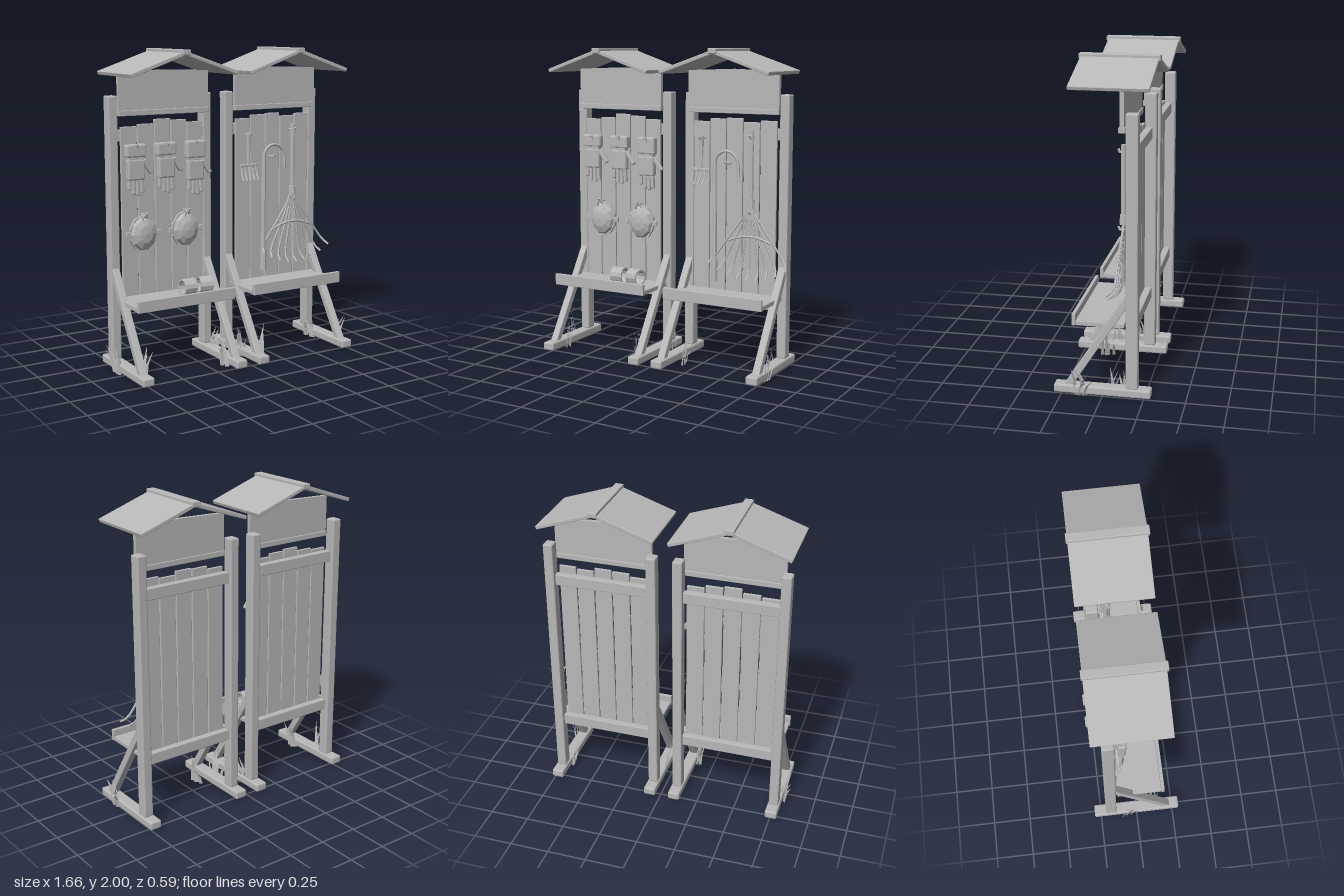
import * as THREE from 'three';
import { RoundedBoxGeometry } from 'three/addons/geometries/RoundedBoxGeometry.js';

const wood = new THREE.MeshStandardMaterial({ color: 0xb8b8b8 });
wood.name = 'plain grey';
wood.side = THREE.DoubleSide;

const V = (x, y, z) => new THREE.Vector3(x, y, z);

// faceted mesh from any geometry
function add(group, name, geo, x = 0, y = 0, z = 0) {
  const flat = geo.index ? geo.toNonIndexed() : geo;
  flat.computeVertexNormals();
  const mesh = new THREE.Mesh(flat, wood);
  mesh.name = name;
  mesh.position.set(x, y, z);
  group.add(mesh);
  return mesh;
}

// chamfered box given by its limits
function box(group, name, x0, x1, y0, y1, z0, z1, bevel = 0) {
  const s = [x1 - x0, y1 - y0, z1 - z0];
  const geo = bevel ? new RoundedBoxGeometry(...s, 1, bevel) : new THREE.BoxGeometry(...s);
  return add(group, name, geo, (x0 + x1) / 2, (y0 + y1) / 2, (z0 + z1) / 2);
}

function tube(group, name, points, r, segments = 8, sides = 6) {
  return add(group, name, new THREE.TubeGeometry(new THREE.CatmullRomCurve3(points), segments, r, sides));
}

function rod(group, name, a, b, r0, r1 = r0, sides = 8) {
  const mesh = add(group, name, new THREE.CylinderGeometry(r1, r0, a.distanceTo(b), sides));
  mesh.position.copy(a).lerp(b, 0.5);
  mesh.quaternion.setFromUnitVectors(V(0, 1, 0), b.clone().sub(a).normalize());
  return mesh;
}

function peg(group, x, y) {
  rod(group, 'peg', V(x, y, -0.14), V(x, y - 0.005, -0.065), 0.007);
  rod(group, 'pegTip', V(x, y - 0.005, -0.068), V(x, y + 0.015, -0.06), 0.008);
}

// frame, plank wall, shelf and roof of one stand
function makeStand(name, cx, plankTops) {
  const g = new THREE.Group();
  g.name = name;
  for (const s of [-1, 1]) {
    const x = cx + s * 0.329;
    box(g, 'foot', x - 0.039, x + 0.039, 0.01, 0.063, -0.293, 0.295, 0.01);
    box(g, 'post', x - 0.031, x + 0.031, 0.06, 1.72, -0.215, -0.142, 0.008);
    const brace = add(g, 'brace', new RoundedBoxGeometry(0.048, 0.72, 0.045, 1, 0.005), x, 0.345, 0.025);
    brace.rotation.x = -Math.atan2(0.375, 0.59);
  }
  plankTops.forEach((top, i) => {
    const x = cx + (i - 2) * 0.116;
    box(g, 'plank', x - 0.055, x + 0.055, 0.368, top, -0.147, -0.13, 0.003);
  });
  for (const y of [0.43, 1.475])
    box(g, 'backRail', cx - 0.3, cx + 0.3, y - 0.036, y + 0.036, -0.19, -0.146, 0.004);
  box(g, 'shelf', cx - 0.335, cx + 0.335, 0.437, 0.465, -0.13, 0.18, 0.003);
  box(g, 'shelfLip', cx - 0.34, cx + 0.34, 0.437, 0.51, 0.163, 0.185, 0.003);

  // header board with a shallow peak
  const h = 0.312;
  const shape = new THREE.Shape([[-h, 1.6], [h, 1.6], [h, 1.862], [0, 1.873], [-h, 1.862]]
    .map(p => new THREE.Vector2(...p)));
  add(g, 'headerBoard', new THREE.ExtrudeGeometry(shape, { depth: 0.026, bevelEnabled: false }), cx, 0, -0.125);
  box(g, 'headerTrim', cx - h, cx + h, 1.598, 1.632, -0.132, -0.092, 0.003);

  // roof slopes and ridge
  for (const s of [-1, 1]) {
    const slope = add(g, 'roofSlope', new RoundedBoxGeometry(0.388, 0.024, 0.463, 1, 0.004), cx + s * 0.184, 1.916, -0.045);
    slope.rotation.z = -s * Math.atan2(0.126, 0.37);
  }
  box(g, 'ridge', cx - 0.028, cx + 0.028, 1.966, 2, -0.285, 0.197, 0.005);
  return g;
}

function makeGlove(x, top, cuff) {
  const g = new THREE.Group();
  g.name = 'glove';
  box(g, 'cuff', x - 0.067, x + 0.067, top - cuff, top, -0.115, -0.065, 0.01);
  const y = top - cuff - 0.012;
  box(g, 'wrist', x - 0.052, x + 0.052, y - 0.01, y + 0.02, -0.11, -0.072);
  box(g, 'palm', x - 0.057, x + 0.057, y - 0.13, y, -0.115, -0.068, 0.01);
  [0.065, 0.095, 0.1, 0.085].forEach((len, i) => {
    const fx = x - 0.042 + i * 0.028;
    const f = box(g, 'finger', fx - 0.012, fx + 0.012, y - 0.125 - len, y - 0.12, -0.103, -0.077, 0.006);
    f.rotation.z = (i - 1.5) * 0.03;
  });
  const thumb = add(g, 'thumb', new RoundedBoxGeometry(0.028, 0.1, 0.028, 1, 0.007), x + 0.082, y - 0.05, -0.09);
  thumb.rotation.z = 0.6;
  box(g, 'loop', x - 0.012, x + 0.012, top - 0.035, top, -0.066, -0.058);
  peg(g, x, top - 0.02);
  return g;
}

function makeKneePad(x, y) {
  const g = new THREE.Group();
  g.name = 'kneePad';
  const dome = new THREE.SphereGeometry(1, 10, 3, 0, Math.PI * 2, 0, Math.PI / 2);
  dome.rotateX(Math.PI / 2).scale(0.092, 0.11, 0.045);
  add(g, 'dome', dome, x, y, -0.108);
  const rim = new THREE.CylinderGeometry(1, 1, 1, 10);
  rim.rotateX(Math.PI / 2).scale(0.1, 0.119, 0.018);
  add(g, 'rim', rim, x, y, -0.114);
  for (const s of [-1, 1])
    box(g, 'strapTab', x + s * 0.108 - 0.015, x + s * 0.108 + 0.015, y - 0.017, y + 0.017, -0.118, -0.1, 0.003);
  tube(g, 'hangingStrap', [V(x - 0.025, y + 0.09, -0.08), V(x - 0.005, y + 0.125, -0.075), V(x + 0.015, y + 0.1, -0.09)], 0.007);
  peg(g, x, y + 0.125);
  return g;
}

// open roll lying on the shelf
function makeRoll(x, turn) {
  const ring = new THREE.LatheGeometry(
    [[0.043, -0.042], [0.054, -0.042], [0.054, 0.042], [0.043, 0.042], [0.043, -0.042]]
      .map(p => new THREE.Vector2(...p)), 12);
  ring.rotateZ(Math.PI / 2);
  const g = new THREE.Group();
  g.name = 'roll';
  add(g, 'rollRing', ring, x, 0.52, 0.045).rotation.y = turn;
  return g;
}

function makeHandFork(x) {
  const g = new THREE.Group();
  g.name = 'handFork';
  rod(g, 'grip', V(x, 1.32, -0.09), V(x, 1.455, -0.09), 0.014, 0.017);
  rod(g, 'neck', V(x, 1.23, -0.09), V(x, 1.33, -0.09), 0.009);
  box(g, 'crossbar', x - 0.062, x + 0.062, 1.228, 1.246, -0.1, -0.08, 0.003);
  for (let i = -2; i <= 2; i++)
    tube(g, 'tine', [V(x + i * 0.027, 1.24, -0.09), V(x + i * 0.029, 1.18, -0.075), V(x + i * 0.029 - 0.006, 1.145, -0.05)], 0.006);
  peg(g, x, 1.435);
  return g;
}

function makeHookTool(x) {
  const g = new THREE.Group();
  g.name = 'hookTool';
  rod(g, 'shaft', V(x, 0.6, -0.07), V(x, 1.3, -0.07), 0.017, 0.014);
  rod(g, 'grip', V(x, 0.53, -0.07), V(x, 0.67, -0.07), 0.023, 0.021);
  const arc = [V(x, 1.25, -0.07)];
  for (let i = 0; i <= 6; i++) {
    const a = Math.PI * (1 - i / 6);
    arc.push(V(x + 0.08 + 0.08 * Math.cos(a), 1.285 + 0.08 * Math.sin(a), -0.07));
  }
  arc.push(V(x + 0.165, 1.205, -0.07));
  tube(g, 'hook', arc, 0.01, 20);
  peg(g, x + 0.08, 1.285);
  return g;
}

function makeRake(x) {
  const g = new THREE.Group();
  g.name = 'leafRake';
  const z = -0.09;
  rod(g, 'handle', V(x, 1.06, z), V(x, 1.495, z), 0.015);
  rod(g, 'ferrule', V(x, 1.015, z), V(x, 1.075, z), 0.025, 0.022);
  const plate = new THREE.Shape([[-0.02, 1.02], [-0.045, 0.945], [0.045, 0.945], [0.02, 1.02]]
    .map(p => new THREE.Vector2(...p)));
  add(g, 'head', new THREE.ExtrudeGeometry(plate, { depth: 0.014, bevelEnabled: false }), x, 0, z - 0.007);
  const band = [];
  for (let i = 0; i < 9; i++) {
    const t = (i - 4) / 4;
    const tip = V(x + t * 0.265, 0.565 + 0.09 * t * t, -0.03);
    const start = V(x + t * 0.025, 0.985, z);
    const bend = V(x + t * 0.24, 0.6 + 0.09 * t * t, -0.072);
    tube(g, 'tine', [start, start.clone().lerp(bend, 0.5), bend, tip], 0.0075, 10, 5);
    band.push(V(x + t * 0.145, 0.835 - 0.035 * t * t, -0.082));
  }
  tube(g, 'tineBand', band, 0.009, 12);
  peg(g, x, 1.455);
  peg(g, x, 0.985);
  return g;
}

// tuft of curved tapering blades
function makeGrass(x, z, lean, seed) {
  const rnd = () => (seed = (seed * 16807) % 2147483647) / 2147483647;
  const g = new THREE.Group();
  g.name = 'grassTuft';
  for (let i = 0; i < 6; i++) {
    const bx = x + (rnd() - 0.5) * 0.03, bz = z + (rnd() - 0.5) * 0.09;
    const h = 0.09 + rnd() * 0.12, dx = lean * (0.01 + rnd() * 0.04), dz = (rnd() - 0.5) * 0.12;
    const p = [];
    for (const [t, w] of [[0, 0.009], [0.55, 0.006], [1, 0.0005]])
      for (const s of [-1, 1]) p.push(bx + dx * t * t + s * w, h * t, bz + dz * t * t + s * w);
    const geo = new THREE.BufferGeometry();
    geo.setAttribute('position', new THREE.Float32BufferAttribute(p, 3));
    geo.setIndex([0, 1, 3, 0, 3, 2, 2, 3, 5, 2, 5, 4]);
    add(g, 'blade', geo);
  }
  return g;
}

export function createModel() {
  const model = new THREE.Group();
  model.name = 'gardenToolStands';
  model.add(
    makeStand('rightStand', -0.428, [1.53, 1.542, 1.568, 1.558, 1.54]),
    makeStand('leftStand', 0.397, [1.542, 1.562, 1.568, 1.546, 1.558]),
    makeGlove(-0.638, 1.425, 0.08), makeGlove(-0.427, 1.425, 0.08), makeGlove(-0.218, 1.425, 0.11),
    makeKneePad(-0.578, 0.858), makeKneePad(-0.277, 0.858),
    makeRoll(-0.35, 0), makeRoll(-0.227, -0.2),
    makeHandFork(0.183), makeHookTool(0.29), makeRake(0.532));
  const tufts = [[-0.71, 0.12, 1], [-0.79, -0.07, -1], [-0.15, 0.14, -1], [-0.09, -0.08, 1],
    [0.05, 0.02, -1], [0.15, 0.08, 1], [0.685, -0.08, -1], [0.755, 0.13, 1]];
  tufts.forEach(([x, z, lean], i) => model.add(makeGrass(x, z, lean, 101 + i * 7919)));
  return model;
}
